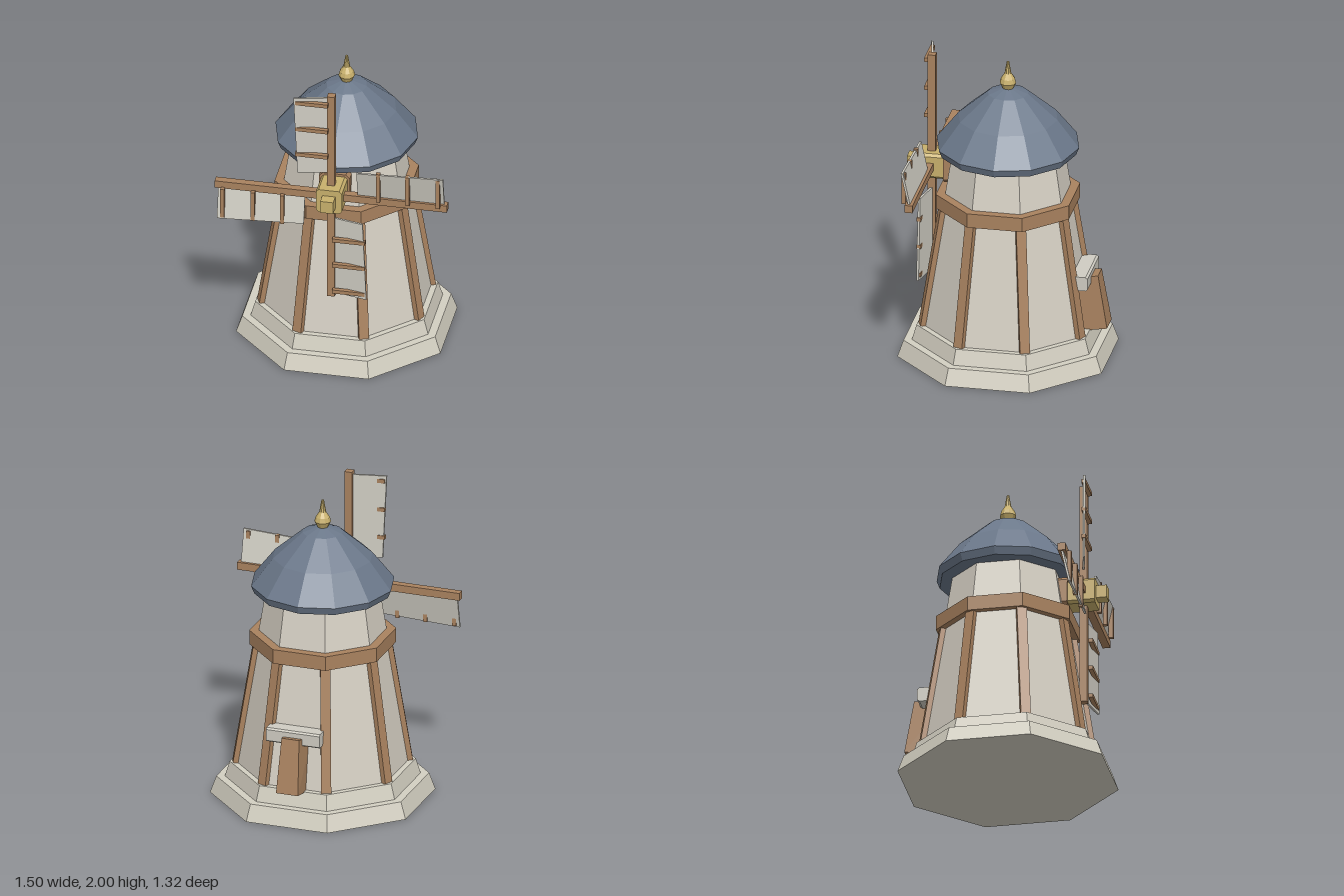
import * as THREE from 'three';

const mat = (name, color) => {
  const m = new THREE.MeshStandardMaterial({ color, flatShading: true });
  m.name = name;
  return m;
};

export function createModel() {
  const model = new THREE.Group();
  model.name = 'windmill';
  const wall = mat('plaster', 0xd6d0c4);
  const stone = mat('stone', 0xd3cfc1);
  const wood = mat('wood', 0xa9825f);
  const slate = mat('slate blue', 0x6b788a);
  const gold = mat('brass', 0xc8b06c);
  const cloth = mat('sailcloth', 0xcfccc2);

  const add = (parent, name, geo, material, x = 0, y = 0, z = 0) => {
    const mesh = new THREE.Mesh(geo, material);
    mesh.name = name;
    mesh.position.set(x, y, z);
    parent.add(mesh);
    return mesh;
  };
  const box = (w, h, d) => new THREE.BoxGeometry(w, h, d);
  // Move every vertex of a geometry by a rule
  const warp = (geo, rule) => {
    const p = geo.attributes.position;
    const v = new THREE.Vector3();
    for (let i = 0; i < p.count; i++) {
      v.fromBufferAttribute(p, i);
      rule(v);
      p.setXYZ(i, v.x, v.y, v.z);
    }
    geo.computeVertexNormals();
    return geo;
  };
  // Octagonal frustum measured across its flats
  const octagon = (name, y0, y1, a0, a1, material) => {
    const k = Math.cos(Math.PI / 8);
    const geo = new THREE.CylinderGeometry(a1 / k, a0 / k, y1 - y0, 8);
    geo.rotateY(Math.PI / 8);
    return add(model, name, geo, material, 0, (y0 + y1) / 2, 0);
  };
  const lathe = (name, pts, sides, material) =>
    add(model, name, new THREE.LatheGeometry(pts.map(([x, y]) => new THREE.Vector2(x, y)), sides), material);
  // Square bar with cut corners, running along z
  const chamferedBar = (half, cut, depth) => {
    const s = new THREE.Shape();
    const c = half - cut;
    [[half, -c], [half, c], [c, half], [-c, half], [-half, c], [-half, -c], [-c, -half], [c, -half]]
      .forEach(([x, y], i) => (i ? s.lineTo(x, y) : s.moveTo(x, y)));
    return new THREE.ExtrudeGeometry(s, { depth, bevelEnabled: false });
  };

  // Tower
  octagon('foundation', 0, 0.11, 0.66, 0.623, stone);
  octagon('plinth', 0.11, 0.21, 0.573, 0.545, stone);
  octagon('towerWall', 0.2, 1.4, 0.51, 0.33, wall);
  octagon('gallery band', 1.01, 1.105, 0.43, 0.43, wood);

  // Leaning corner posts
  for (let i = 0; i < 8; i++) {
    const corner = new THREE.Group();
    corner.name = 'cornerPost';
    corner.rotation.y = Math.PI / 8 + (i * Math.PI) / 4;
    const post = add(corner, 'post', box(0.064, 0.85, 0.08), wood, 0, 0.625, 0.463);
    post.rotation.x = -0.161;
    model.add(corner);
  }

  // Twelve-sided cap and finial
  lathe('roof', [[0, 1.38], [0.44, 1.38], [0.46, 1.43], [0.32, 1.61], [0.13, 1.775], [0, 1.82]], 12, slate);
  lathe('finial', [[0, 1.79], [0.03, 1.8], [0.053, 1.845], [0.045, 1.875], [0.022, 1.91], [0.015, 1.95],
    [0.008, 1.99], [0, 1.992]], 10, gold);

  // Rear door with lintel
  const entrance = new THREE.Group();
  entrance.name = 'entrance';
  entrance.rotation.y = Math.PI;
  const doorGeo = warp(box(0.148, 0.36, 0.2), v => { if (v.y > 0 && v.z > 0) v.x *= 0.8; });
  const door = add(entrance, 'door', doorGeo, wood, 0, 0.384, 0.526);
  door.rotation.x = -0.17;
  const lintelGeo = chamferedBar(0.047, 0.01, 0.36);
  lintelGeo.translate(0, 0, -0.18).rotateY(Math.PI / 2);
  lintelGeo.scale(1, 1, 1.4);
  add(entrance, 'lintel', lintelGeo, cloth, 0, 0.567, 0.485);
  model.add(entrance);

  // Rotor: axle, hub and four sails
  const rotor = new THREE.Group();
  rotor.name = 'rotor';
  rotor.position.set(0, 1.25, 0);
  model.add(rotor);
  add(rotor, 'axle', chamferedBar(0.1, 0.025, 0.17), wood, 0, 0, 0.23);
  add(rotor, 'hub', chamferedBar(0.084, 0.017, 0.175), gold, 0, 0, 0.4);
  add(rotor, 'hubCap', box(0.084, 0.084, 0.09), gold, 0, 0, 0.6);

  for (let i = 0; i < 4; i++) {
    const arm = new THREE.Group();
    arm.name = 'sailArm';
    arm.rotation.z = (i * Math.PI) / 2;
    arm.position.z = 0.49;
    add(arm, 'spar', box(0.05, 0.75, 0.05), wood, 0, 0.375, 0);
    // Pitched cloth panel, wider toward the tip
    const panel = box(1, 0.56, 0.014);
    panel.translate(-0.5, 0.45, 0);
    warp(panel, v => {
      v.x *= 0.19 + (0.025 * (v.y - 0.17)) / 0.56;
      v.z -= v.x * 0.22;
      v.x -= 0.02;
    });
    add(arm, 'sailPanel', panel, cloth);
    [0.31, 0.5, 0.695].forEach(y => add(arm, 'batten', box(0.21, 0.026, 0.028), wood, -0.12, y, 0.041));
    rotor.add(arm);
  }
  return model;
}
